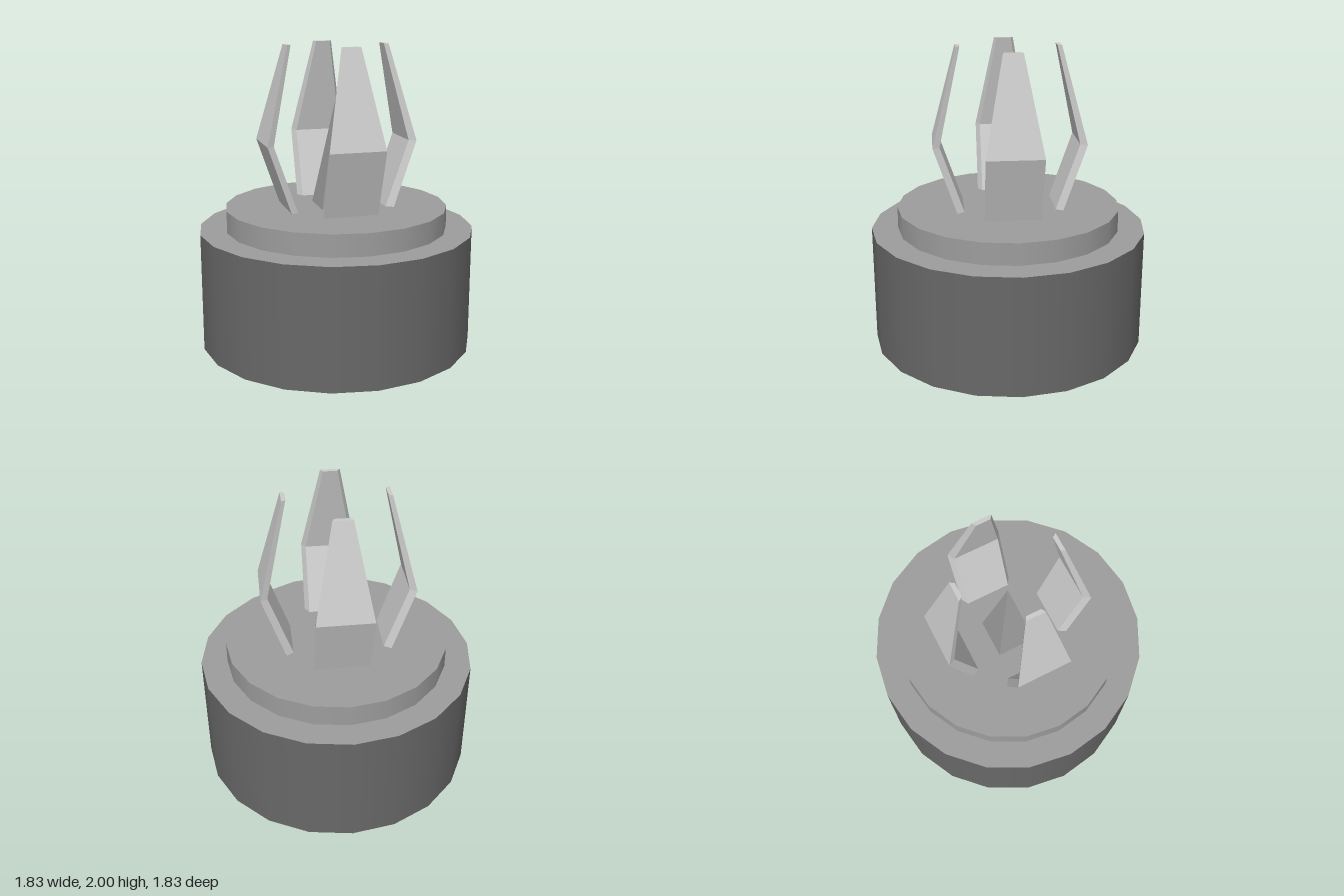
import * as THREE from 'three';

const darkGrey = new THREE.MeshStandardMaterial({ color: 0x686868 });
const midGrey = new THREE.MeshStandardMaterial({ color: 0x9d9d9d });
const spikeGrey = new THREE.MeshStandardMaterial({ color: 0x9d9d9d, flatShading: true });
const paleGrey = new THREE.MeshStandardMaterial({ color: 0xcccccc, flatShading: true });

function addMesh(parent, name, geometry, material) {
  const mesh = new THREE.Mesh(geometry, material);
  mesh.name = name;
  parent.add(mesh);
  return mesh;
}

// Upright 20-sided drum between two heights, with its own side colour
function drum(parent, name, radius, y0, y1, side) {
  const geometry = new THREE.CylinderGeometry(radius, radius, y1 - y0, 20);
  addMesh(parent, name, geometry, [side, midGrey, midGrey]).position.y = (y0 + y1) / 2;
}

// Bent, tapering prong facing +z, lofted through four-cornered sections
function prongGeometry() {
  // height, outer distance, outer half width, inner distance, inner half width
  const sections = [
    [0.935, 0.348, 0.182, 0.3, 0.153],
    [1.375, 0.498, 0.184, 0.453, 0.157],
    [2.0, 0.338, 0.063, 0.311, 0.047],
  ];
  const positions = [];
  for (const [y, zo, wo, zi, wi] of sections) {
    positions.push(-wo, y, zo, wo, y, zo, wi, y, zi, -wi, y, zi);
  }
  const index = [];
  const quad = (a, b, c, d) => index.push(a, b, c, a, c, d);
  for (let s = 0; s < sections.length - 1; s++) {
    for (let i = 0; i < 4; i++) {
      const a = s * 4 + i, b = s * 4 + (i + 1) % 4;
      quad(a, b, b + 4, a + 4);
    }
  }
  quad(3, 2, 1, 0); // foot
  quad(8, 9, 10, 11); // tip
  const geometry = new THREE.BufferGeometry();
  geometry.setAttribute('position', new THREE.Float32BufferAttribute(positions, 3));
  geometry.setIndex(index);
  const flat = geometry.toNonIndexed();
  flat.computeVertexNormals();
  return flat;
}

export function createModel() {
  const model = new THREE.Group();
  model.name = 'prongedPedestal';

  // Stepped round base: dark wall below, mid grey step and ledges
  drum(model, 'base', 0.915, 0, 0.79, darkGrey);
  drum(model, 'upperStep', 0.74, 0.79, 0.935, midGrey);

  // Central four-sided spike
  const spike = addMesh(model, 'spike', new THREE.ConeGeometry(0.183, 0.72, 4), spikeGrey);
  spike.position.y = 0.935 + 0.36;
  spike.rotation.y = 0.165;

  // Ring of four prongs
  const prongs = new THREE.Group();
  prongs.name = 'prongs';
  const geometry = prongGeometry();
  for (let i = 0; i < 4; i++) {
    const prong = addMesh(prongs, 'prong', geometry, paleGrey);
    prong.rotation.y = -Math.PI / 5 + i * Math.PI / 2;
  }
  model.add(prongs);

  return model;
}
